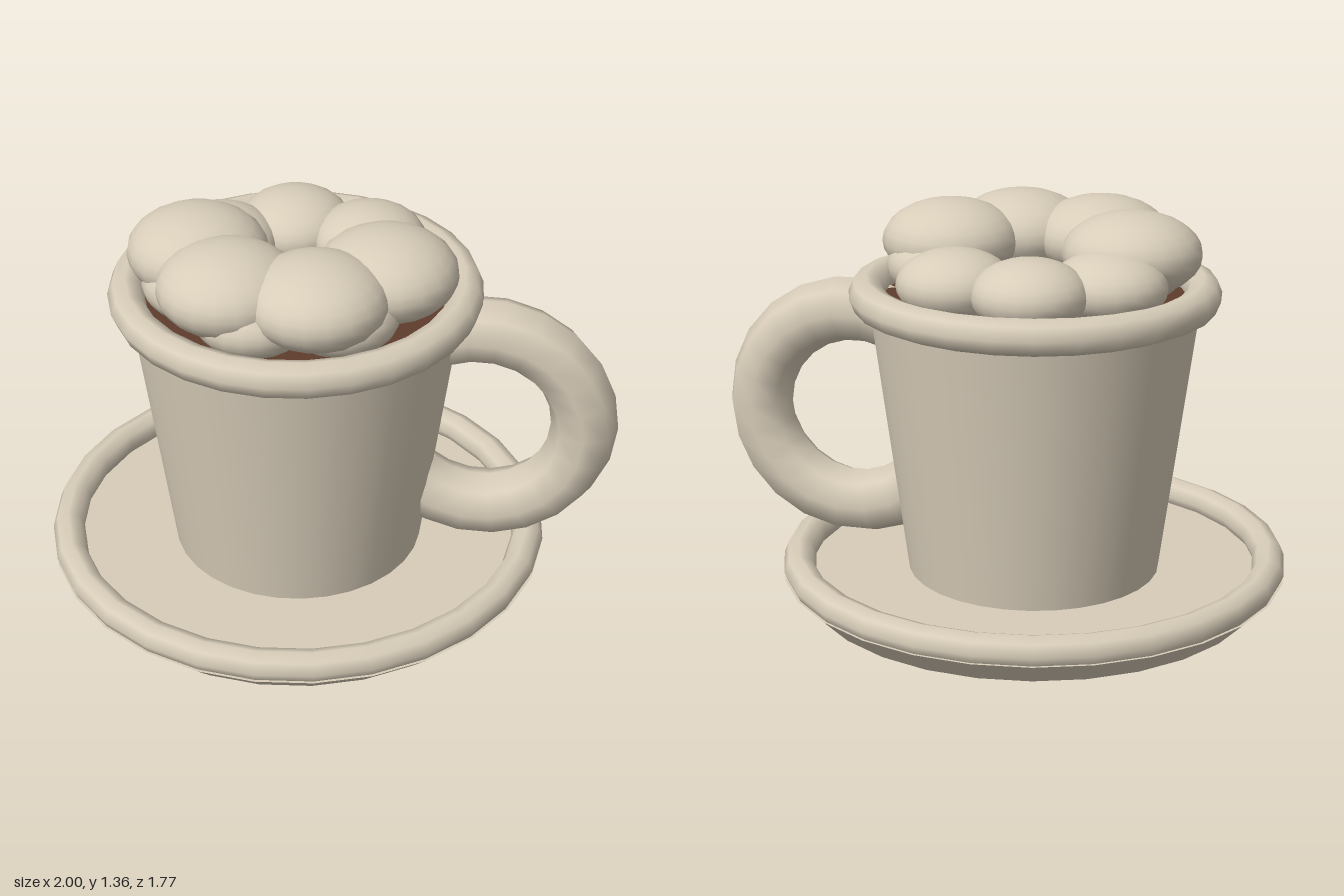
import * as THREE from 'three';

export function createModel() {
  const model = new THREE.Group();
  model.name = 'cupAndSaucer';
  const cream = new THREE.MeshStandardMaterial({ color: 0xd8cdb9 });
  cream.name = 'cream';
  const cocoa = new THREE.MeshStandardMaterial({ color: 0x5f3c2c });
  cocoa.name = 'cocoa';

  // Everything but the handle shares the cup's axis
  const cup = new THREE.Group();
  cup.name = 'cup';
  cup.position.x = -0.117;
  model.add(cup);

  function add(parent, name, geometry, material, x = 0, y = 0, z = 0) {
    const mesh = new THREE.Mesh(geometry, material);
    mesh.name = name;
    mesh.position.set(x, y, z);
    parent.add(mesh);
    return mesh;
  }
  function addRing(name, radius, tube, y) {
    add(cup, name, new THREE.TorusGeometry(radius, tube, 8, 28).rotateX(Math.PI / 2), cream, 0, y);
  }

  // Saucer: flared dish with a rolled edge
  add(cup, 'saucer', new THREE.CylinderGeometry(0.88, 0.79, 0.09, 28), cream, 0, 0.045);
  addRing('saucerRim', 0.827, 0.056, 0.12);

  // Tapered cup body, lip and drink
  add(cup, 'cupBody', new THREE.CylinderGeometry(0.565, 0.44, 0.96, 32, 1, true), cream, 0, 0.57);
  addRing('cupLip', 0.573, 0.062, 1.078);
  add(cup, 'drink', new THREE.CircleGeometry(0.53, 32).rotateX(-Math.PI / 2), cocoa, 0, 1.06);

  // Handle: open ring whose ends sink into the cup wall
  const arc = Math.PI * 1.45;
  const handle = add(model, 'handle', new THREE.TorusGeometry(0.355, 0.115, 8, 16, arc), cream, 0.527, 0.62);
  handle.rotation.z = -arc / 2;

  // Whipped cream: flattened puffs
  const puff = new THREE.SphereGeometry(1, 20, 14);
  function addPuff(name, x, y, z, radius, height) {
    add(cup, name, puff, cream, x, y, z).scale.set(radius, height, radius);
  }
  // Lower ring of seven puffs
  for (let i = 0; i < 7; i++) {
    const a = (260 * Math.PI) / 180 + (i * Math.PI * 2) / 7;
    addPuff('lowerPuff', 0.325 * Math.cos(a), 1.15, 0.325 * Math.sin(a), 0.197, 0.12);
  }
  // Larger upper puffs around the front
  for (const [x, z] of [[-0.325, 0.04], [-0.175, 0.27], [0.12, 0.305], [0.32, 0.095]]) {
    addPuff('upperPuff', x, 1.22, z, 0.238, 0.142);
  }
  return model;
}
